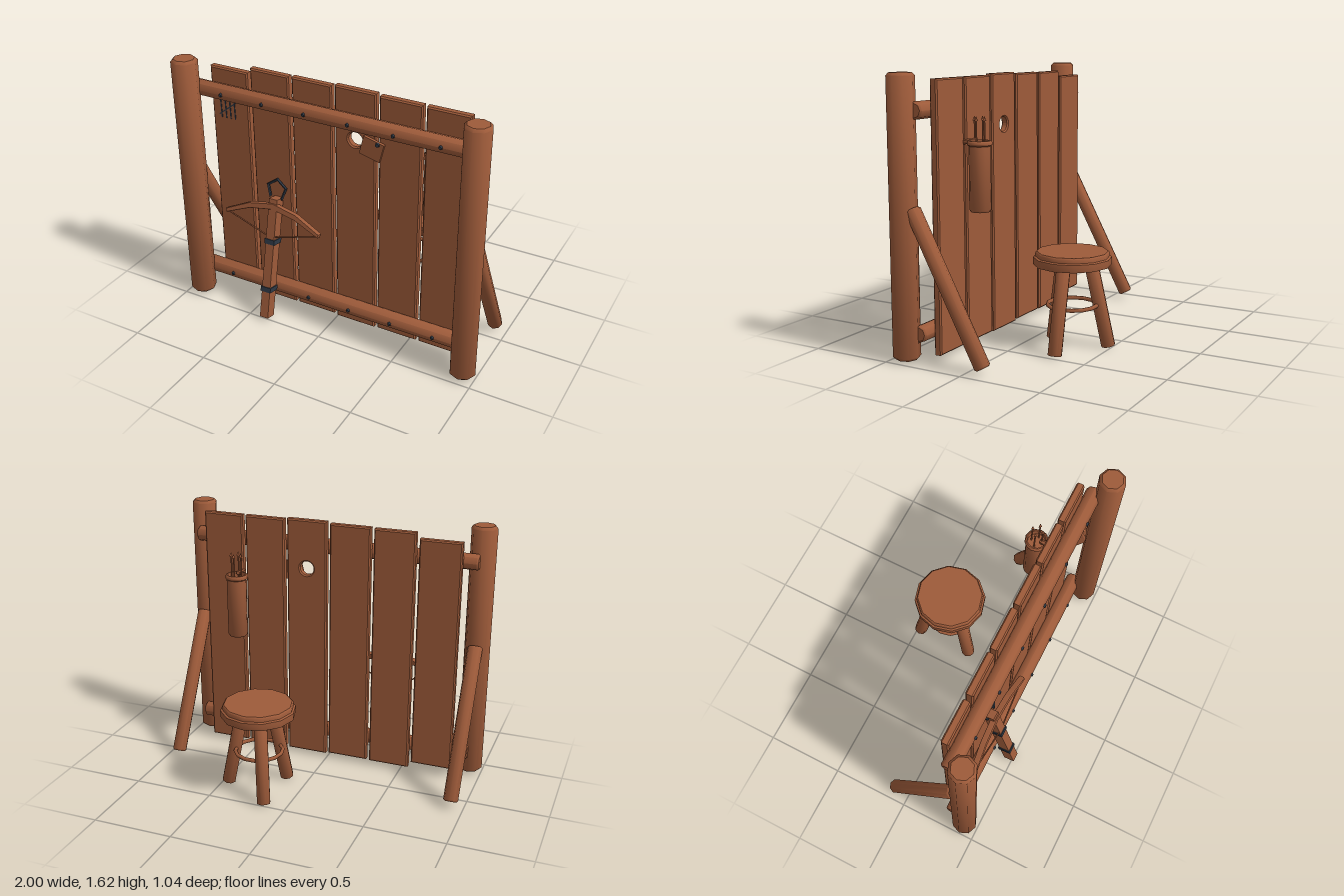
import * as THREE from 'three';
import { toCreasedNormals } from 'three/addons/utils/BufferGeometryUtils.js';

const wood = new THREE.MeshStandardMaterial({ color: 0x9e5b3a });
wood.name = 'brown wood';
const iron = new THREE.MeshStandardMaterial({ color: 0x2e3844 });
iron.name = 'dark iron';

const V = (x, y, z) => new THREE.Vector3(x, y, z);

function add(parent, name, geo, mat, x = 0, y = 0, z = 0) {
  const m = new THREE.Mesh(geo, mat);
  m.name = name;
  m.position.set(x, y, z);
  parent.add(m);
  return m;
}

function lathe(profile, sides) {
  const pts = profile.map(([r, y]) => new THREE.Vector2(r, y));
  return toCreasedNormals(new THREE.LatheGeometry(pts, sides), 0.8);
}

// Round timber with chamfered ends, running from a to b
function log(parent, name, a, b, r, sides = 8, mat = wood, chamfer = 0.2) {
  const dir = b.clone().sub(a), h = dir.length(), c = r * chamfer;
  const geo = lathe([[0, 0], [r - c, 0], [r, c], [r, h - c], [r - c, h], [0, h]], sides);
  const m = add(parent, name, geo, mat, a.x, a.y, a.z);
  m.quaternion.setFromUnitVectors(V(0, 1, 0), dir.normalize());
  return m;
}

function group(parent, name) {
  const g = new THREE.Group();
  g.name = name;
  parent.add(g);
  return g;
}

// Board with bevelled edges and an optional round hole
function plankGeometry(w, h, d, hole) {
  const b = 0.008, x = w / 2 - b, y = h / 2 - b;
  const s = new THREE.Shape([[-x, -y], [x, -y], [x, y], [-x, y]].map(p => new THREE.Vector2(...p)));
  if (hole) s.holes.push(new THREE.Path().absarc(hole.x, hole.y, hole.r + b, 0, Math.PI * 2, true));
  return new THREE.ExtrudeGeometry(s, {
    depth: d - 2 * b, bevelEnabled: true, bevelSize: b, bevelThickness: b, bevelSegments: 1, curveSegments: 10,
  });
}

function buildWall(root) {
  const wall = group(root, 'wall');
  // Posts and rear braces
  for (const s of [-1, 1]) {
    log(wall, 'post', V(s * 0.92, 0.015, 0.41), V(s * 0.92, 1.625, 0.41), 0.08);
    log(wall, 'brace', V(s * 0.92, 0.04, -0.1), V(s * 0.92, 0.88, 0.35), 0.046);
  }
  // Planks with their bottom and top heights
  const spans = [[0.07, 1.55], [0.03, 1.585], [0.033, 1.588], [0.025, 1.597], [0.03, 1.59], [0.03, 1.59]];
  spans.forEach(([y0, y1], i) => {
    const x = -0.703 + i * 0.2812, mid = (y0 + y1) / 2;
    const hole = i === 3 ? { x: 0, y: 1.29 - mid, r: 0.045 } : null;
    add(wall, 'plank', plankGeometry(0.26, y1 - y0, 0.048, hole), wood, x, mid, 0.243);
  });
  // Rails and nails
  for (const y of [1.42, 0.167]) {
    log(wall, 'rail', V(-0.92, y, 0.326), V(0.92, y, 0.326), 0.05);
    for (let i = 0; i < 6; i++) {
      const nail = new THREE.CylinderGeometry(0.009, 0.014, 0.014, 6);
      nail.rotateX(Math.PI / 2);
      add(wall, 'railNail', nail, iron, -0.703 + i * 0.2812, y, 0.376);
    }
  }
  // Hole cover hanging from one nail
  const cover = add(wall, 'holeCover', new THREE.BoxGeometry(0.132, 0.117, 0.016), wood, 0.253, 1.265, 0.291);
  cover.rotation.z = -0.25;
  const pin = new THREE.CylinderGeometry(0.012, 0.014, 0.014, 6);
  pin.rotateX(Math.PI / 2);
  add(wall, 'coverNail', pin, iron, 0.293, 1.303, 0.303);
  // Tally marks
  for (let i = 0; i < 4; i++) {
    const mark = add(wall, 'tallyMark', new THREE.BoxGeometry(0.007, 0.12, 0.004), iron, -0.77 + i * 0.032, 1.29, 0.284);
    mark.rotation.z = 0.03;
  }
  const slash = add(wall, 'tallySlash', new THREE.BoxGeometry(0.148, 0.007, 0.004), iron, -0.725, 1.294, 0.285);
  slash.rotation.z = 0.66;
}

function buildCrossbow(root) {
  const bow = group(root, 'crossbow');
  bow.position.set(-0.385, 0.008, 0.485);
  bow.rotation.x = -0.213;
  add(bow, 'stock', new THREE.BoxGeometry(0.058, 0.79, 0.07), wood, 0, 0.402, 0);
  for (const y of [0.2, 0.52]) {
    add(bow, 'band', new THREE.BoxGeometry(0.07, 0.032, 0.082), iron, 0, y, 0);
  }
  // Bow limbs, outlined on one side and mirrored
  const top = [[0, 0.768], [0.165, 0.735], [0.332, 0.655]];
  const low = [[0.326, 0.636], [0.16, 0.705], [0, 0.734]];
  const right = [...top, ...low];
  const left = [...low.slice(0, 2).reverse(), ...top.slice(1).reverse()];
  const ordered = [[-0.16, 0.705], [-0.326, 0.636], [-0.332, 0.655], [-0.165, 0.735]];
  const outline = left.length === 4 ? [...right, ...ordered] : right;
  const limbs = new THREE.ExtrudeGeometry(new THREE.Shape(outline.map(p => new THREE.Vector2(...p))), {
    depth: 0.026, bevelEnabled: true, bevelSize: 0.003, bevelThickness: 0.005, bevelSegments: 1,
  });
  add(bow, 'limbs', limbs, wood, 0, 0, 0.01);
  for (const s of [-1, 1]) {
    log(bow, 'string', V(s * 0.325, 0.642, 0.024), V(0, 0.545, 0.024), 0.005, 5);
  }
  // Five-sided stirrup, open where it meets the stock
  const ring = new THREE.TorusGeometry(0.066, 0.01, 5, 4, Math.PI * 1.6).toNonIndexed();
  ring.computeVertexNormals();
  add(bow, 'stirrup', ring, iron, 0, 0.85, 0).rotation.z = -Math.PI * 0.3;
}

function buildQuiver(root) {
  const quiver = group(root, 'quiver');
  quiver.position.set(0.572, 0, 0.131);
  add(quiver, 'quiverBody', lathe([[0, 0.83], [0.055, 0.83], [0.063, 0.842], [0.063, 1.205], [0.071, 1.212],
    [0.071, 1.228], [0.064, 1.236], [0.056, 1.236], [0.054, 1.2], [0, 1.2]], 12), wood);
  log(quiver, 'peg', V(0, 1.222, 0.115), V(0, 1.238, 0.02), 0.015, 6);
  // Arrows standing points up
  for (let i = 0; i < 4; i++) {
    const a = i * Math.PI / 2, x = Math.sin(a) * 0.033, z = Math.cos(a) * 0.033;
    add(quiver, 'arrowShaft', new THREE.CylinderGeometry(0.005, 0.005, 0.42, 5), wood, x, 1.14, z);
    add(quiver, 'arrowHead', new THREE.ConeGeometry(0.013, 0.028, 3), wood, x, 1.362, z);
  }
}

function buildStool(root) {
  const stool = group(root, 'stool');
  stool.position.set(0.25, 0, -0.293);
  add(stool, 'seat', lathe([[0, 0.505], [0.228, 0.505], [0.23, 0.512], [0.23, 0.55],
    [0.218, 0.556], [0.216, 0.578], [0.209, 0.585], [0, 0.585]], 12), wood).rotation.y = Math.PI / 2;
  for (let i = 0; i < 3; i++) {
    const a = i * Math.PI * 2 / 3, c = Math.cos(a), s = Math.sin(a);
    log(stool, 'leg', V(c * 0.214, 0.01, s * 0.214), V(c * 0.105, 0.53, s * 0.105), 0.043, 8, wood, 0.08);
  }
  const ring = new THREE.TorusGeometry(0.146, 0.012, 6, 14);
  ring.rotateX(Math.PI / 2);
  add(stool, 'footRing', ring, wood, 0, 0.265, 0);
}

export function createModel() {
  const root = new THREE.Group();
  root.name = 'archerScreen';
  buildWall(root);
  buildCrossbow(root);
  buildQuiver(root);
  buildStool(root);
  return root;
}
